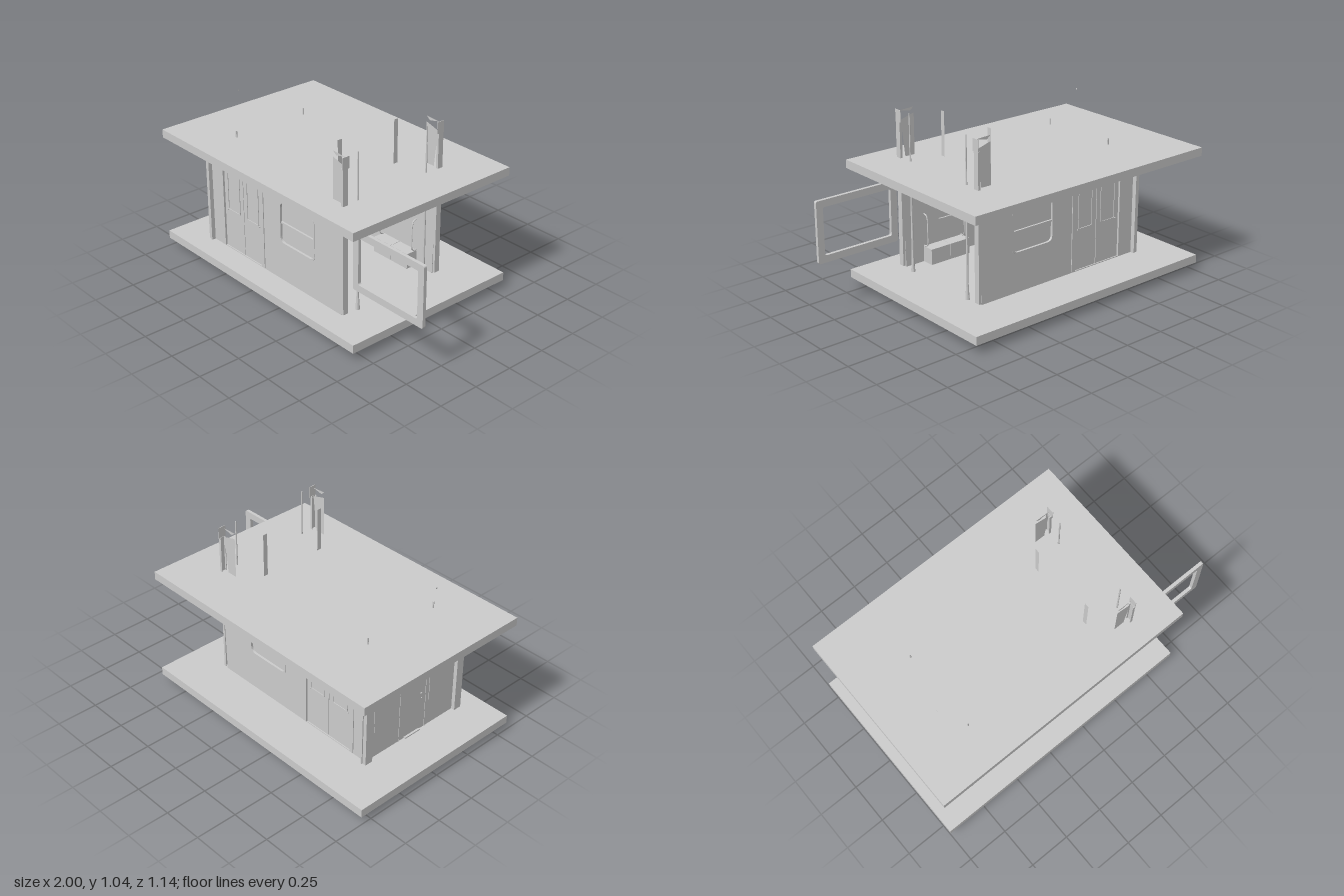
import * as THREE from 'three';

const MID = 0.065; // the cabin's own centre line in z
const grey = new THREE.MeshStandardMaterial({ color: 0xcccccc, flatShading: true, side: THREE.DoubleSide });

function add(parent, name, geometry) {
  const mesh = new THREE.Mesh(geometry, grey);
  mesh.name = name;
  parent.add(mesh);
  return mesh;
}

// Box given by its two extremes on each axis
function box(parent, name, x0, x1, y0, y1, z0, z1) {
  const m = add(parent, name, new THREE.BoxGeometry(x1 - x0, y1 - y0, z1 - z0));
  m.position.set((x0 + x1) / 2, (y0 + y1) / 2, (z0 + z1) / 2);
  return m;
}

function rod(parent, name, x, z, y0, y1, rTop, rBottom = rTop) {
  const m = add(parent, name, new THREE.CylinderGeometry(rTop, rBottom, y1 - y0, 10));
  m.position.set(x, (y0 + y1) / 2, z);
  return m;
}

// Rounded rectangle outline
function rounded(target, x0, x1, y0, y1, r) {
  target.moveTo(x0 + r, y0);
  target.lineTo(x1 - r, y0);
  target.quadraticCurveTo(x1, y0, x1, y0 + r);
  target.lineTo(x1, y1 - r);
  target.quadraticCurveTo(x1, y1, x1 - r, y1);
  target.lineTo(x0 + r, y1);
  target.quadraticCurveTo(x0, y1, x0, y1 - r);
  target.lineTo(x0, y0 + r);
  target.quadraticCurveTo(x0, y0, x0 + r, y0);
  return target;
}

const extrude = (shape, depth) =>
  new THREE.ExtrudeGeometry(shape, { depth, bevelEnabled: false, curveSegments: 6 });

// Frame with an opening, in the xy plane
function frame(parent, name, [x0, x1, y0, y1], border, r, depth, z) {
  const shape = rounded(new THREE.Shape(), x0, x1, y0, y1, r);
  shape.holes.push(rounded(new THREE.Path(), x0 + border, x1 - border, y0 + border, y1 - border, r));
  const m = add(parent, name, extrude(shape, depth));
  m.position.z = z;
  return m;
}

// One side of the cabin, with z measured from the centre line
function buildSide() {
  const side = new THREE.Group();

  // Side wall with door and window openings
  const outline = [[-0.765, 0.1], [0.405, 0.1], [0.42, 0.645], [0.32, 0.645], [0.32, 0.72], [-0.73, 0.72], [-0.73, 0.64], [-0.765, 0.64]];
  const wall = new THREE.Shape(outline.map(([x, y]) => new THREE.Vector2(x, y)));
  wall.holes.push(rounded(new THREE.Path(), -0.11, 0.185, 0.335, 0.595, 0.04));
  wall.holes.push(new THREE.Path([[-0.65, 0.105], [-0.255, 0.105], [-0.255, 0.64], [-0.65, 0.64]].map(([x, y]) => new THREE.Vector2(x, y))));
  add(side, 'sideWall', extrude(wall, 0.03)).position.z = 0.325;

  // Window pane, surround and crossbar
  add(side, 'windowPane', extrude(rounded(new THREE.Shape(), -0.11, 0.185, 0.335, 0.595, 0.04), 0.006)).position.z = 0.335;
  frame(side, 'windowSurround', [-0.112, 0.187, 0.333, 0.597], 0.008, 0.035, 0.014, 0.344);
  box(side, 'windowCrossbar', -0.105, 0.18, 0.455, 0.465, 0.338, 0.352);

  // Double sliding door
  for (const [x0, x1, hx] of [[-0.625, -0.452, -0.6], [-0.448, -0.28, -0.305]]) {
    box(side, 'doorLeaf', x0, x1, 0.105, 0.64, 0.33, 0.348);
    frame(side, 'doorWindowFrame', [x0 + 0.03, x1 - 0.03, 0.35, 0.6], 0.006, 0.008, 0.005, 0.347);
    const knob = rod(side, 'doorButton', hx, 0.35, 0.345, 0.355, 0.004);
    knob.rotation.x = Math.PI / 2;
  }
  for (const x of [-0.65, -0.28]) box(side, 'doorJamb', x, x + 0.025, 0.105, 0.64, 0.327, 0.36);

  // Corner post at the closed end
  box(side, 'cornerPost', -0.765, -0.735, 0.1, 0.64, 0.35, 0.375);

  // Channel jamb at the open end
  box(side, 'endJambWeb', 0.421, 0.426, 0.11, 0.98, 0.325, 0.36);
  for (const z of [0.325, 0.356]) box(side, 'endJambFlange', 0.411, 0.421, 0.11, 0.98, z, z + 0.004);
  box(side, 'jambTop', 0.423, 0.426, 0.975, 1.045, 0.315, 0.362);

  // Loose upper panel and its small flap
  const panel = new THREE.Shape([[0.33, 0.66], [0.375, 0.68], [0.41, 0.985], [0.32, 1.01], [0.32, 0.69]].map(([x, y]) => new THREE.Vector2(x, y)));
  add(side, 'upperPanel', new THREE.ShapeGeometry(panel)).position.z = 0.335;
  const flap = new THREE.Shape([[0.32, 1.045], [0.345, 1.025], [0.415, 1.04]].map(([x, y]) => new THREE.Vector2(x, y)));
  add(side, 'upperFlap', new THREE.ShapeGeometry(flap)).position.z = 0.335;

  // Standing poles with flared foot and ceiling collar
  rod(side, 'endPole', 0.415, 0.247, 0.1, 1.045, 0.004, 0.008);
  rod(side, 'endPoleFoot', 0.415, 0.247, 0.1, 0.2, 0.006, 0.013);
  rod(side, 'cabinPole', -0.63, 0.247, 0.1, 0.805, 0.005);
  rod(side, 'poleCollar', -0.63, 0.247, 0.705, 0.715, 0.011);

  // Hanging handle and narrow upright strip
  rod(side, 'hangingRod', 0.1, 0.175, 0.6, 0.715, 0.004);
  rod(side, 'hangingRodCollar', 0.1, 0.175, 0.707, 0.715, 0.011);
  const strip = add(side, 'uprightStrip', new THREE.PlaneGeometry(0.028, 0.33));
  strip.rotation.y = Math.PI / 2;
  strip.position.set(0.22, 0.865, 0.202);

  // Bench seat in two blocks with arm rails
  for (const x of [0, 0.14]) box(side, 'benchSeat', x, x + 0.138, 0.1, 0.195, 0.25, 0.325);
  for (const x of [0.005, 0.273]) {
    const path = new THREE.CatmullRomCurve3([[0.325, 0.395], [0.303, 0.39], [0.292, 0.365], [0.29, 0.3], [0.291, 0.215], [0.303, 0.2], [0.325, 0.198]].map(([z, y]) => new THREE.Vector3(x, y, z)));
    add(side, 'armRail', new THREE.TubeGeometry(path, 24, 0.004, 6));
  }
  return side;
}

export function createModel() {
  const model = new THREE.Group();
  model.name = 'cabinSection';

  // Floor and roof slabs
  box(model, 'floorSlab', -1, 0.67, 0.05, 0.1, -0.57, 0.57);
  box(model, 'roofSlab', -1, 0.67, 0.715, 0.765, -0.57, 0.57);

  // Two mirrored cabin sides
  for (const s of [1, -1]) {
    const side = buildSide();
    side.name = s > 0 ? 'frontSide' : 'backSide';
    side.scale.z = s;
    side.position.z = MID;
    model.add(side);
  }

  // Closed end wall with two windows and a central door
  const end = new THREE.Group();
  end.name = 'endWall';
  model.add(end);
  box(end, 'endPanel', -0.742, -0.734, 0, 0.715, -0.317, 0.445);
  for (const s of [1, -1]) {
    const z = MID + s * 0.21;
    for (const x of [-0.745, -0.735]) {
      box(end, 'endWindow', x, x + 0.004, 0.265, 0.435, z - 0.084, z + 0.084);
    }
    box(end, 'endDoorEdge', -0.745, -0.731, 0.1, 0.66, MID + s * 0.1 - 0.002, MID + s * 0.1 + 0.002);
  }
  box(end, 'doorSill', -0.755, -0.715, 0.1, 0.107, 0.005, 0.12);
  for (const [y, r] of [[0.345, 0.006], [0.315, 0.003]]) {
    rod(end, 'endDoorKnob', -0.737, 0.13, y - 0.01, y + 0.01, r).rotation.z = Math.PI / 2;
  }
  const disc = add(end, 'smallDisc', new THREE.CircleGeometry(0.005, 10));
  disc.rotation.y = Math.PI / 2;
  disc.position.set(-0.74, 0.99, 0.205);

  // Detached window frame beyond the open end
  frame(model, 'looseWindowFrame', [0.47, 1, 0.285, 0.65], 0.042, 0.012, 0.02, 0.375);
  return model;
}
